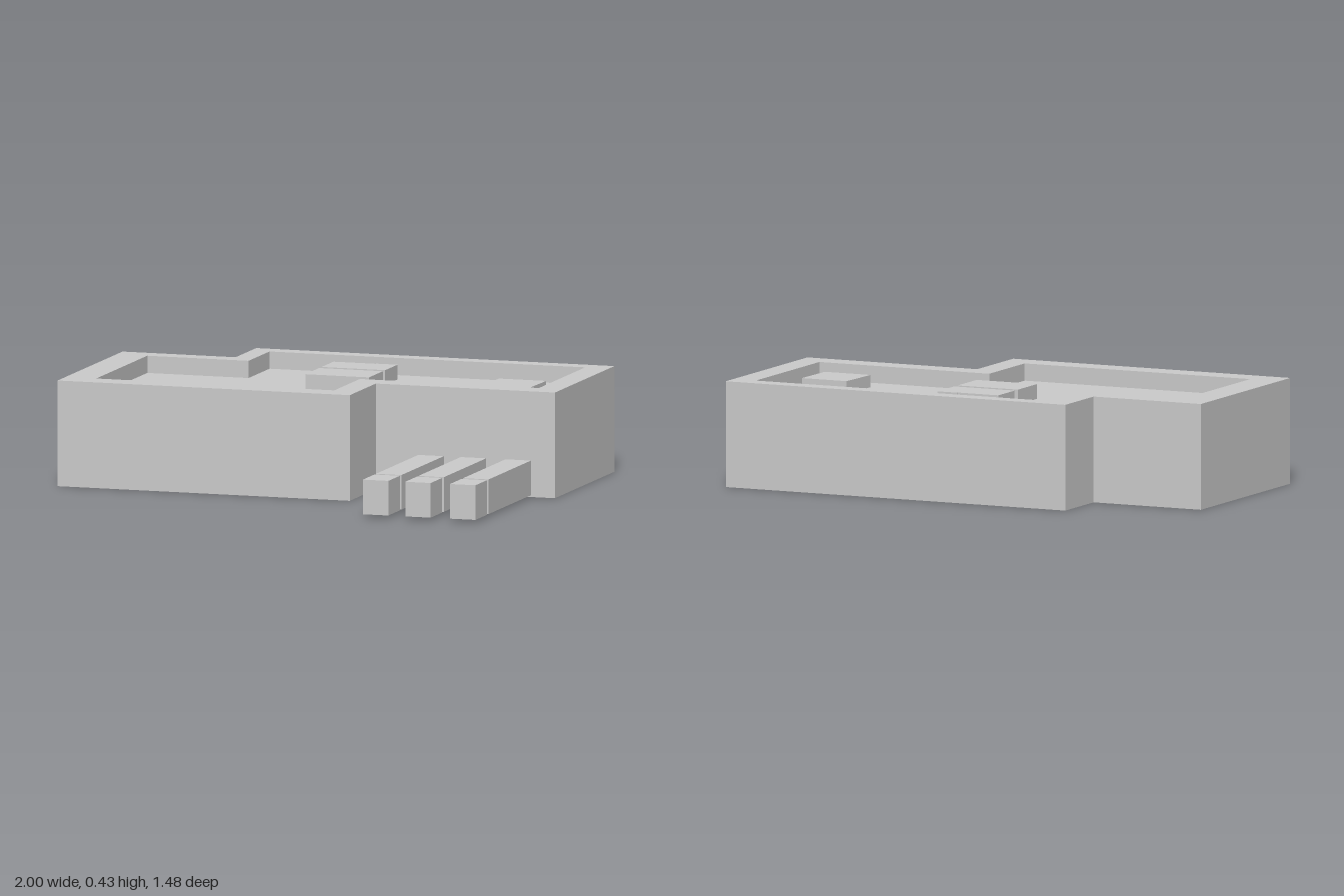
import * as THREE from 'three';

const material = new THREE.MeshStandardMaterial({
  color: 0xcccccc, side: THREE.DoubleSide, flatShading: true,
});

// Outlines are [x, z] corners, running counterclockwise seen from above.
const OUTER = [[-1, 0.34], [0.24, 0.34], [0.24, 0.01], [1, 0.01],
  [1, -0.74], [-0.52, -0.74], [-0.52, -0.48], [-1, -0.48]];
const INNER = [[-0.87, 0.24], [0.14, 0.24], [0.14, -0.085], [0.9, -0.085],
  [0.9, -0.67], [-0.44, -0.67], [-0.44, -0.405], [-0.87, -0.405]];
const UNITS = [
  { outline: [[-0.13, -0.405], [0.14, -0.405], [0.14, -0.56], [0.05, -0.56], [0.05, -0.555], [-0.13, -0.555]], top: 0.42 },
  { outline: [[-0.13, -0.2], [0.14, -0.2], [0.14, -0.375], [-0.13, -0.375]], top: 0.42 },
  { outline: [[0.615, -0.2], [0.82, -0.2], [0.825, -0.4], [0.625, -0.4]], top: 0.41 },
];
const ROOF_TOP = 0.43;
const ROOF_FLOOR = 0.36;

function addMesh(group, name, geometry) {
  const mesh = new THREE.Mesh(geometry, material);
  mesh.name = name;
  group.add(mesh);
}

// Vertical walls along a closed outline
function walls(outline, y0, y1) {
  const positions = [];
  outline.forEach(([ax, az], i) => {
    const [bx, bz] = outline[(i + 1) % outline.length];
    positions.push(ax, y0, az, bx, y0, bz, bx, y1, bz);
    positions.push(ax, y0, az, bx, y1, bz, ax, y1, az);
  });
  const geometry = new THREE.BufferGeometry();
  geometry.setAttribute('position', new THREE.Float32BufferAttribute(positions, 3));
  geometry.computeVertexNormals();
  return geometry;
}

// Flat, upward-facing surface at height y, with optional holes
function slab(outline, y, holes = []) {
  const toPoints = (pts) => pts.map(([x, z]) => new THREE.Vector2(x, -z));
  const shape = new THREE.Shape(toPoints(outline));
  holes.forEach((hole) => shape.holes.push(new THREE.Path(toPoints(hole))));
  return new THREE.ShapeGeometry(shape).rotateX(-Math.PI / 2).translate(0, y, 0);
}

// Block open at the bottom
function openBlock(name, outline, y0, y1) {
  const block = new THREE.Group();
  block.name = name;
  addMesh(block, name + 'Walls', walls(outline, y0, y1));
  addMesh(block, name + 'Top', slab(outline, y1));
  return block;
}

export function createModel() {
  const model = new THREE.Group();
  model.name = 'building';

  // Hollow main building with a raised rim around its roof
  addMesh(model, 'outerWalls', walls(OUTER, 0, ROOF_TOP));
  addMesh(model, 'parapetTop', slab(OUTER, ROOF_TOP, [INNER]));
  addMesh(model, 'parapetInside', walls([...INNER].reverse(), ROOF_FLOOR, ROOF_TOP));
  addMesh(model, 'roofFloor', slab(INNER, ROOF_FLOOR, UNITS.map((u) => u.outline)));

  // Low units on the roof
  for (const { outline, top } of UNITS) {
    model.add(openBlock('roofUnit', outline, ROOF_FLOOR, top));
  }

  // Three rows of long and short blocks beside the building
  for (const x of [0.43, 0.61, 0.8]) {
    for (const [name, back, front] of [['longBlock', 0.04, 0.575], ['shortBlock', 0.595, 0.74]]) {
      const outline = [[x, front], [x + 0.108, front], [x + 0.108, back], [x, back]];
      model.add(openBlock(name, outline, 0.012, 0.153));
    }
  }
  return model;
}
